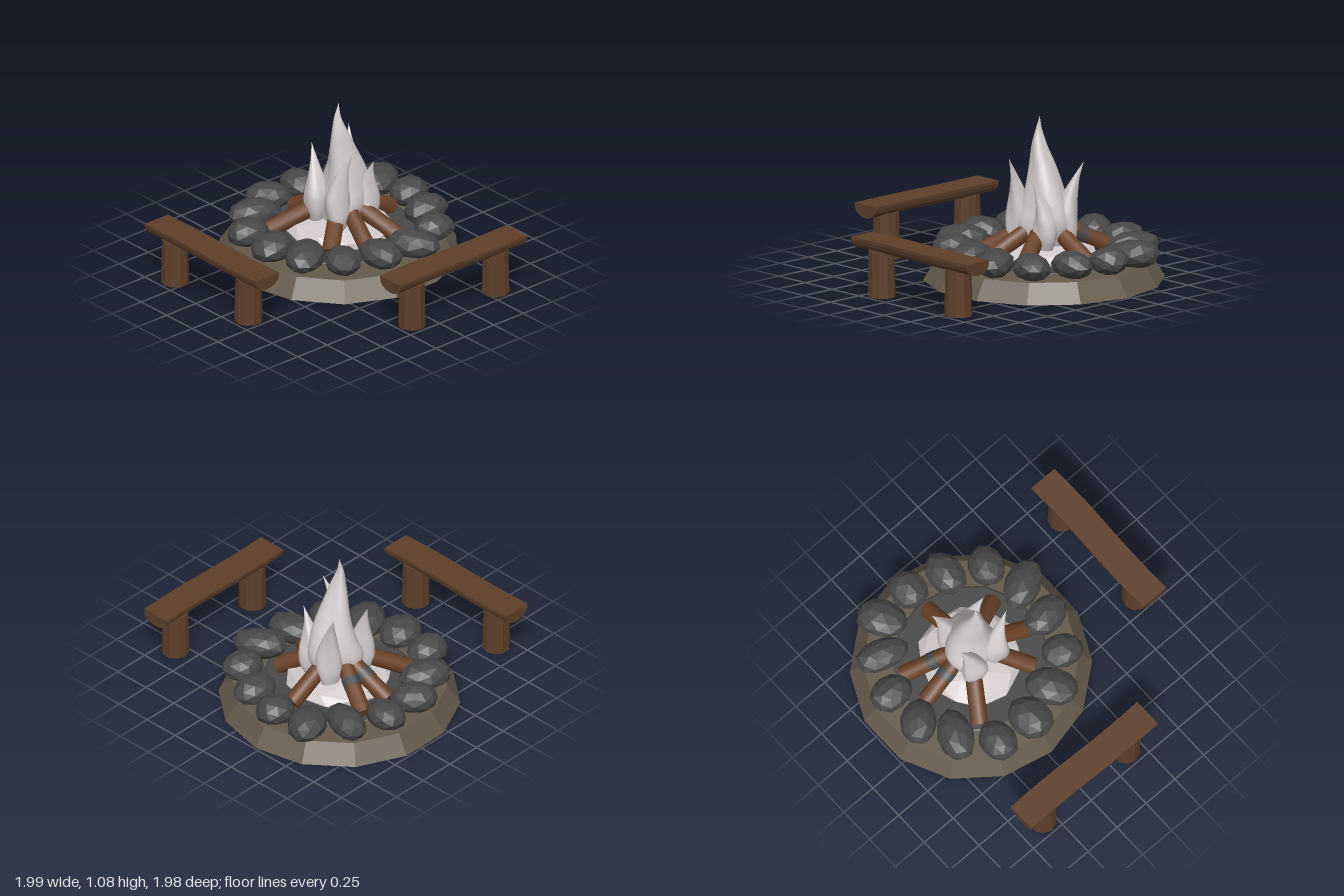
import * as THREE from 'three';
import { mergeVertices } from 'three/addons/utils/BufferGeometryUtils.js';
import { ParametricGeometry } from 'three/addons/geometries/ParametricGeometry.js';

const CX = 0.205, CZ = -0.22; // centre of the fire pit

function material(name, color, options = {}) {
  const m = new THREE.MeshStandardMaterial({ color, ...options });
  m.name = name;
  return m;
}

function add(parent, name, geometry, mat, x = 0, y = 0, z = 0) {
  const mesh = new THREE.Mesh(geometry, mat);
  mesh.name = name;
  mesh.position.set(x, y, z);
  parent.add(mesh);
  return mesh;
}

// Low-poly lump with slightly uneven corners
function lump(seed, amount) {
  let g = new THREE.IcosahedronGeometry(1, 1);
  g.deleteAttribute('normal');
  g.deleteAttribute('uv');
  g = mergeVertices(g);
  const p = g.attributes.position, v = new THREE.Vector3();
  for (let i = 0; i < p.count; i++) {
    v.fromBufferAttribute(p, i);
    const k = 1 + amount * Math.sin(i * 12.9 + seed * 7.3);
    p.setXYZ(i, v.x * k, v.y * k, v.z * k);
  }
  g.computeVertexNormals();
  return g;
}

// Twisted flame tongue; each row is [x, y, z, radius]
function flame(rows, twist) {
  const spine = new THREE.CatmullRomCurve3(rows.map(r => new THREE.Vector3(r[0], r[1], r[2])));
  const width = new THREE.CatmullRomCurve3(rows.map(r => new THREE.Vector3(r[3], r[1], 0)));
  const c = new THREE.Vector3(), w = new THREE.Vector3();
  return new ParametricGeometry((u, v, target) => {
    spine.getPoint(v, c);
    width.getPoint(v, w);
    const a = u * Math.PI * 2;
    const r = Math.max(w.x, 0.0005) * (1 + 0.1 * Math.cos(3 * a + twist * v));
    target.set(c.x + r * Math.cos(a), c.y, c.z - r * Math.sin(a));
  }, 28, 32);
}

// Half-log seat on two posts, running along x
function bench(wood) {
  const group = new THREE.Group();
  const s = new THREE.Shape();
  s.moveTo(0.1, 0.38);
  s.lineTo(-0.1, 0.38);
  for (let i = 0; i <= 8; i++) {
    const a = Math.PI * (1 + i / 8);
    s.lineTo(0.1 * Math.cos(a), 0.362 + 0.07 * Math.sin(a));
  }
  const length = 1.09;
  const g = new THREE.ExtrudeGeometry(s, { depth: length, steps: 8, bevelEnabled: false });
  g.translate(0, 0, -length / 2);
  g.rotateY(Math.PI / 2);
  const p = g.attributes.position;
  for (let i = 0; i < p.count; i++) { // gentle sideways bow
    p.setZ(i, p.getZ(i) + 0.006 * Math.sin(p.getX(i) * 5.5));
  }
  g.computeVertexNormals();
  add(group, 'seat', g, wood);
  for (const x of [-0.36, 0.36]) {
    add(group, 'post', new THREE.CylinderGeometry(0.085, 0.092, 0.31, 10), wood, x, 0.155, 0);
  }
  return group;
}

export function createModel() {
  const flat = { flatShading: true };
  const earth = material('earth', 0x645a4b, { flatShading: true, side: THREE.DoubleSide });
  const soot = material('soot', 0x484848, { flatShading: true, side: THREE.DoubleSide });
  const stone = material('stone', 0x474747, flat);
  const ash = material('ash', 0xd2caca, flat);
  const fire = material('flame', 0xd4cccc, { side: THREE.DoubleSide });
  const bark = material('firewood', 0x6a4228);
  const char = material('charred wood', 0x484a4c);
  const wood = material('bench wood', 0x5d3f2a, flat);

  const model = new THREE.Group();
  model.name = 'campfire';

  // Sloping earth rim, open underneath, with a sooty floor
  const lathe = pts => new THREE.LatheGeometry(pts.map(p => new THREE.Vector2(...p)), 14, Math.PI / 14);
  add(model, 'earthRim', lathe([[0.785, 0], [0.7, 0.13], [0.51, 0.142]]), earth, CX, 0, CZ);
  add(model, 'pitFloor', lathe([[0.69, 0.122], [0.52, 0.13], [0.5, 0.146], [0.001, 0.146]]), soot, CX, 0, CZ);
  add(model, 'ashMound', lump(3, 0.03), ash, 0.215, 0.165, CZ).scale.set(0.345, 0.095, 0.34);

  // Ring of stones: x, z, half length, half width, turn
  const stones = [
    [-0.14, -0.66, 0.18, 0.12, -0.45], [0.09, -0.78, 0.155, 0.12, -0.8],
    [0.35, -0.78, 0.145, 0.12, 1.5], [0.59, -0.65, 0.18, 0.11, 1.3],
    [0.78, -0.48, 0.17, 0.13, 0.6], [0.81, -0.22, 0.14, 0.125, 0],
    [0.735, 0.03, 0.16, 0.12, -0.1], [0.6, 0.26, 0.14, 0.12, -0.4],
    [0.35, 0.35, 0.18, 0.12, -1.05], [0.09, 0.32, 0.16, 0.12, -1.4],
    [-0.16, 0.24, 0.14, 0.12, 1.2], [-0.3, 0.03, 0.18, 0.13, 0.6],
    [-0.37, -0.215, 0.16, 0.135, 0.1], [-0.35, -0.48, 0.145, 0.12, -0.1],
  ];
  stones.forEach(([x, z, a, b, turn], i) => {
    const m = add(model, 'stone', lump(i, 0.045), stone, x, 0.215, z);
    m.scale.set(a, 0.092, b);
    m.rotation.y = turn;
  });

  // Firewood leaning towards the middle: outer end x, z, and whether it has a charred band
  const logs = [
    [-0.17, -0.48, 0], [0.18, -0.63, 1], [0.41, -0.63, 1], [0.64, -0.21, 0],
    [0.4, 0.14, 0], [0.11, 0.19, 0], [-0.1, 0.04, 0],
  ];
  const up = new THREE.Vector3(0, 1, 0);
  for (const [x, z, charred] of logs) {
    const outer = new THREE.Vector3(x, 0.17, z);
    const inner = new THREE.Vector3(0.22, 0.37, -0.22).lerp(new THREE.Vector3(x, 0.37, z), 0.15);
    const dir = inner.clone().sub(outer);
    const log = new THREE.Group();
    log.name = 'log';
    log.position.copy(outer).lerp(inner, 0.5);
    log.quaternion.setFromUnitVectors(up, dir.clone().normalize());
    add(log, 'logBody', new THREE.CylinderGeometry(0.054, 0.058, dir.length(), 12), bark);
    if (charred) add(log, 'charredBand', new THREE.CylinderGeometry(0.059, 0.059, 0.06, 12), char, 0, 0.02, 0);
    model.add(log);
  }

  // Tall middle flame and four side tongues
  add(model, 'mainFlame', flame([
    [0.22, 0.22, -0.21, 0.14], [0.235, 0.38, -0.21, 0.175], [0.245, 0.5, -0.205, 0.15],
    [0.235, 0.62, -0.2, 0.118], [0.21, 0.75, -0.2, 0.085], [0.185, 0.88, -0.195, 0.05],
    [0.175, 0.98, -0.2, 0.022], [0.185, 1.075, -0.2, 0],
  ], 4), fire);
  const tongues = [ // body x, z, then tip x, y, z
    [0.085, -0.31, 0.12, 0.74, -0.39], [0.36, -0.28, 0.42, 0.785, -0.37],
    [0.09, -0.1, 0.12, 0.81, 0.01], [0.34, -0.1, 0.32, 0.68, -0.01],
  ];
  tongues.forEach(([x, z, tx, ty, tz], i) => {
    const at = (t, lean, r) => [x + (tx - x) * lean, 0.22 + (ty - 0.22) * t, z + (tz - z) * lean, r];
    add(model, 'sideFlame', flame([
      at(0, 0, 0.05), at(0.18, -0.05, 0.077), at(0.38, -0.1, 0.08),
      at(0.58, 0.1, 0.055), at(0.8, 0.5, 0.024), at(1, 1, 0),
    ], 3 + i), fire);
  });

  // Two benches at right angles
  const front = bench(wood);
  front.name = 'frontBench';
  front.position.set(0.215, 0, 0.893);
  const side = bench(wood);
  side.name = 'sideBench';
  side.position.set(-0.893, 0, -0.215);
  side.rotation.y = Math.PI / 2;
  model.add(front, side);
  return model;
}
